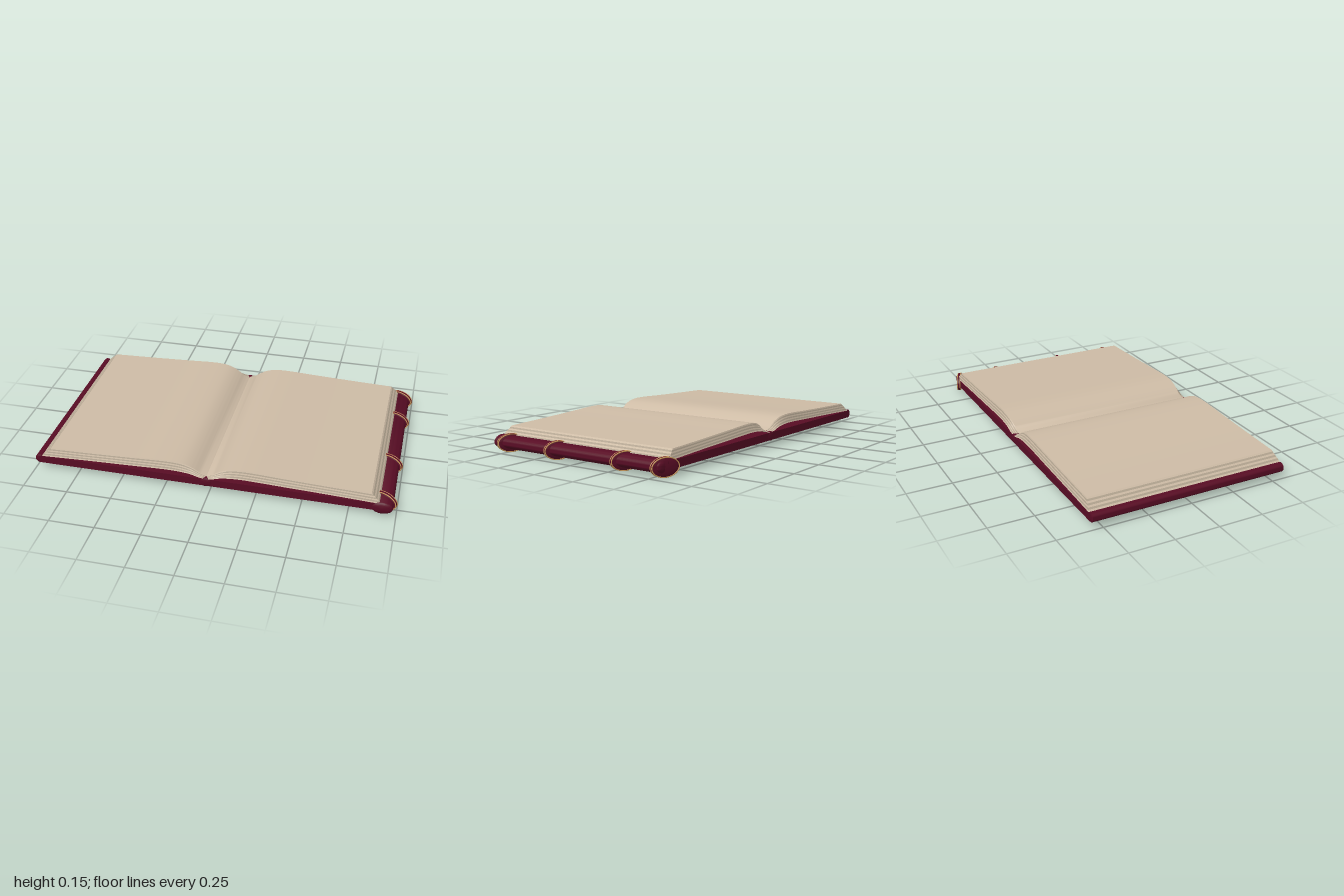
import * as THREE from 'three';
import { toCreasedNormals } from 'three/addons/utils/BufferGeometryUtils.js';

const burgundy = new THREE.MeshStandardMaterial({ color: 0x580c24 });
burgundy.name = 'burgundy leather';
const paper = new THREE.MeshStandardMaterial({ color: 0xcdbba5 });
paper.name = 'paper';
const paperEdge = new THREE.MeshStandardMaterial({ color: 0xb0a28e });
paperEdge.name = 'shaded paper edge';
const gold = new THREE.MeshStandardMaterial({ color: 0xc9985a });
gold.name = 'gold';

const GUTTER = -0.02; // x of the fold
const BACK = -0.56, FRONT = 0.57;

function part(parent, name, geometry, material, x = 0, y = 0, z = 0) {
  const mesh = new THREE.Mesh(geometry, material);
  mesh.name = name;
  mesh.position.set(x, y, z);
  parent.add(mesh);
  return mesh;
}

// Page profile: distance from gutter (0..1), underside height, top height
const profile = new THREE.CatmullRomCurve3([
  [0, 0.08, 0.085], [0.04, 0.085, 0.1], [0.09, 0.098, 0.128], [0.14, 0.104, 0.146],
  [0.2, 0.107, 0.154], [0.28, 0.106, 0.155], [0.45, 0.1, 0.148], [0.7, 0.092, 0.139], [1, 0.08, 0.13],
].map((p) => new THREE.Vector3(...p)));

// One layer of pages between heights f0 and f1 (0 bottom, 1 top) of the block
function pageLayer(side, f0, f1) {
  const n = 40, pos = [], idx = [];
  const corner = (p, f, front) => {
    const x = p.x * THREE.MathUtils.lerp(0.94, 0.885, f);
    const y = THREE.MathUtils.lerp(p.y, p.z, f);
    const dip = 0.018 * f * Math.exp(-((p.x / 0.12) ** 2));
    const z = front ? FRONT - 0.018 * f - dip * 0.3 : BACK + 0.018 * f + dip;
    pos.push(GUTTER + side * x, y, z);
  };
  const quad = (a, b, c, d) => (side > 0 ? idx.push(a, b, c, a, c, d) : idx.push(a, c, b, a, d, c));
  for (let i = 0; i <= n; i++) {
    const p = profile.getPoint(i / n);
    corner(p, f0, true);
    corner(p, f1, true);
    corner(p, f1, false);
    corner(p, f0, false);
    if (i === n) break;
    for (let j = 0; j < 4; j++) {
      const k = (j + 1) % 4, a = i * 4, b = a + 4;
      quad(a + j, b + j, b + k, a + k);
    }
  }
  const e = n * 4;
  quad(e, e + 3, e + 2, e + 1);
  quad(0, 1, 2, 3);
  const g = new THREE.BufferGeometry();
  g.setAttribute('position', new THREE.Float32BufferAttribute(pos, 3));
  g.setIndex(idx);
  return toCreasedNormals(g, 0.5);
}

// Rod along z with softly domed ends
function rod(rx, ry, z0, z1, dome) {
  const pts = [
    [0, z0], [0.6, z0 + dome * 0.2], [0.9, z0 + dome * 0.6], [1, z0 + dome],
    [1, z1 - dome], [0.9, z1 - dome * 0.6], [0.6, z1 - dome * 0.2], [0, z1],
  ].map(([r, z]) => new THREE.Vector2(r, z));
  const g = new THREE.LatheGeometry(pts, 32);
  g.rotateX(Math.PI / 2);
  g.scale(rx, ry, 1);
  return toCreasedNormals(g, 0.7);
}

// Elliptical gold wire in the xy plane
function wire(rx, ry) {
  const pts = [];
  for (let i = 0; i < 24; i++) {
    const a = (i / 24) * Math.PI * 2;
    pts.push(new THREE.Vector3(Math.cos(a) * rx, Math.sin(a) * ry, 0));
  }
  return new THREE.TubeGeometry(new THREE.CatmullRomCurve3(pts, true), 48, 0.003, 6, true);
}

export function createModel() {
  const book = new THREE.Group();
  book.name = 'open book';

  // Cover board, rounded left edge and centre spine
  const depth = FRONT - BACK, mid = (FRONT + BACK) / 2;
  part(book, 'coverBoard', new THREE.BoxGeometry(1.9, 0.043, depth), burgundy, -0.025, 0.0575, mid);
  part(book, 'coverEdge', rod(0.025, 0.026, BACK, FRONT, 0.004), burgundy, -0.975, 0.059, 0);
  part(book, 'spine', rod(0.032, 0.026, BACK - 0.003, FRONT + 0.005, 0.005), burgundy, GUTTER, 0.059, 0);

  // Two curved page blocks made of stacked layers
  const layers = 7;
  for (const side of [-1, 1]) {
    const pages = new THREE.Group();
    pages.name = side > 0 ? 'leftPages' : 'rightPages';
    for (let k = 0; k < layers; k++) {
      const material = k % 2 ? paperEdge : paper;
      part(pages, 'pageLayer', pageLayer(side, k / layers, (k + 1) / layers), material);
    }
    book.add(pages);
  }

  // Thick rolled edge with tilted bands
  part(book, 'rolledEdge', rod(0.056, 0.036, -0.555, 0.58, 0.012), burgundy, 0.925, 0.054, 0);
  for (const z of [0.495, 0.15, -0.295, -0.543]) {
    const band = new THREE.Group();
    band.name = 'band';
    band.position.set(0.928, 0.051, z);
    band.rotation.y = -0.42;
    part(band, 'bandRidge', rod(0.075, 0.05, -0.015, 0.015, 0.009), burgundy);
    for (const offset of [-0.008, 0.008]) {
      part(band, 'goldWire', wire(0.0745, 0.048), gold, 0, 0, offset);
    }
    book.add(band);
  }
  return book;
}
